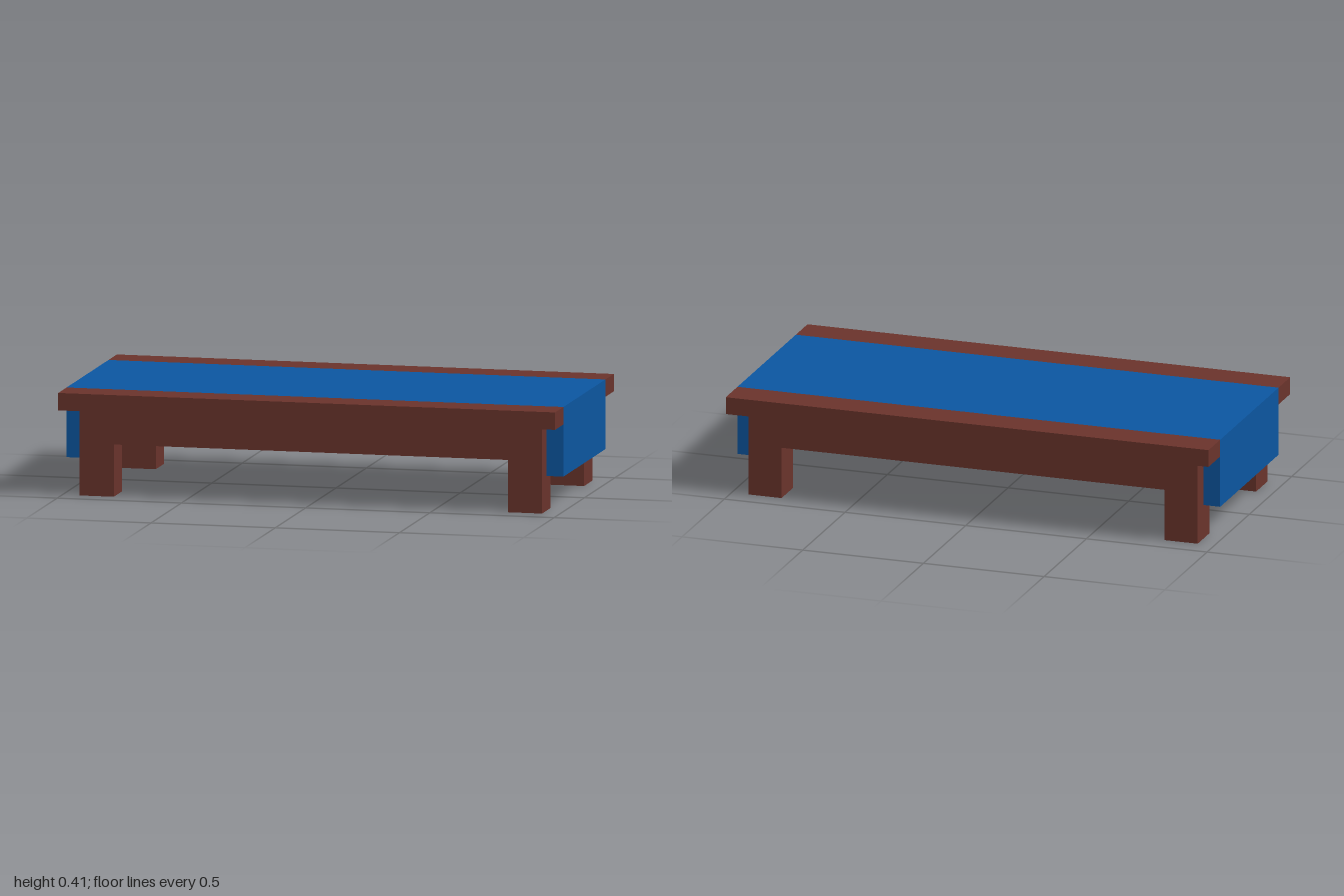
import * as THREE from 'three';

export function createModel() {
  const model = new THREE.Group();
  model.name = 'lowTable';

  const wood = new THREE.MeshStandardMaterial({ color: 0x6b342c });
  wood.name = 'brown wood';
  const cloth = new THREE.MeshStandardMaterial({ color: 0x0c57a2 });
  cloth.name = 'blue cloth';

  // Box given by its lower and upper corners
  function box(name, material, [x0, y0, z0], [x1, y1, z1]) {
    const mesh = new THREE.Mesh(new THREE.BoxGeometry(x1 - x0, y1 - y0, z1 - z0), material);
    mesh.position.set((x0 + x1) / 2, (y0 + y1) / 2, (z0 + z1) / 2);
    mesh.name = name;
    model.add(mesh);
  }

  const top = 0.414, topUnder = 0.345, frameUnder = 0.207, clothHem = 0.138;
  const frameX = 0.931, frameZ = 0.414, clothZ = 0.345, topZ = 0.483, leg = 0.138;

  // Solid frame under the top
  box('frame', wood, [-frameX, frameUnder, -frameZ], [frameX, topUnder, frameZ]);

  // Cloth runner flush with the wooden edges of the top
  box('runnerTop', cloth, [-1, topUnder, -clothZ], [1, top, clothZ]);

  for (const s of [-1, 1]) {
    const side = s > 0 ? 'Left' : 'Right';
    const end = s > 0 ? 'Front' : 'Back';

    // Wooden edge strip along each long side
    const za = s * clothZ, zb = s * topZ;
    box('topEdge' + end, wood, [-1, topUnder, Math.min(za, zb)], [1, top, Math.max(za, zb)]);

    // Cloth hanging over each short end
    const xa = s * frameX, xb = s;
    box('runnerDrop' + side, cloth,
      [Math.min(xa, xb), clothHem, -clothZ], [Math.max(xa, xb), topUnder, clothZ]);

    // Square corner legs, flush with the frame
    for (const t of [-1, 1]) {
      const x = s * (frameX - leg / 2), z = t * (frameZ - leg / 2);
      box((t > 0 ? 'front' : 'back') + side + 'Leg', wood,
        [x - leg / 2, 0, z - leg / 2], [x + leg / 2, frameUnder, z + leg / 2]);
    }
  }

  return model;
}
